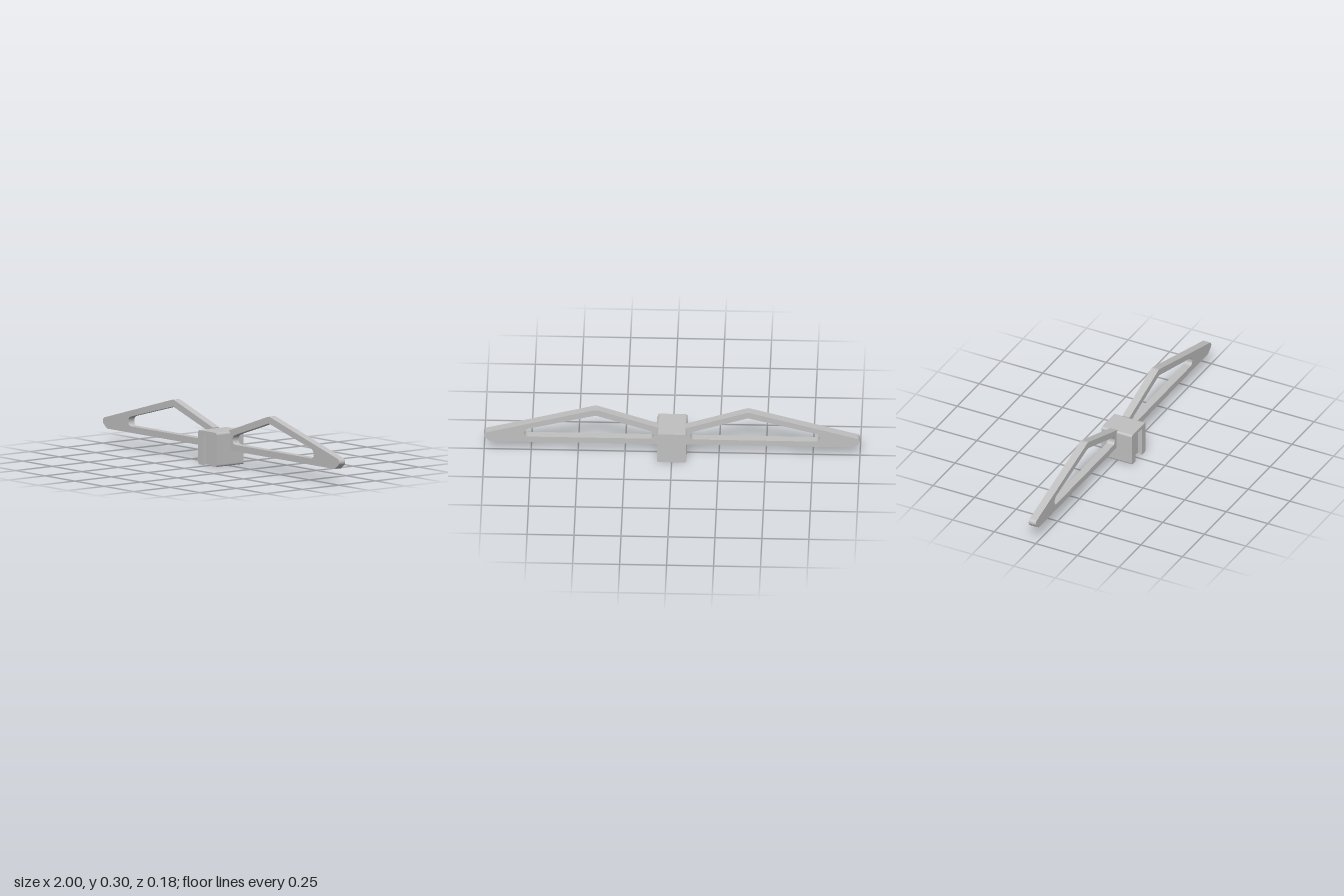
import * as THREE from 'three';

// Fills a path with a closed polygon; each point is [x, y, corner cut length]
function roundedPolygon(path, points, side = 1) {
  const pts = points.map(([x, y, r = 0]) => ({ p: new THREE.Vector2(x * side, y), r }));
  // Mirrored outlines are reversed so that their walls still face outward
  if (side < 0) pts.reverse();
  const n = pts.length;
  pts.forEach(({ p, r }, i) => {
    const toward = (q) => p.clone().add(q.p.clone().sub(p).setLength(r));
    const a = toward(pts[(i + n - 1) % n]);
    if (i === 0) path.moveTo(a.x, a.y);
    else path.lineTo(a.x, a.y);
    if (r) {
      const b = toward(pts[(i + 1) % n]);
      path.quadraticCurveTo(p.x, p.y, b.x, b.y);
    }
  });
  path.closePath();
  return path;
}

// Extrudes a shape between two depths; the fine curve steps keep corners smooth
function slab(name, shape, z0, z1, material) {
  const geometry = new THREE.ExtrudeGeometry(shape, { depth: z1 - z0, bevelEnabled: false, curveSegments: 16 });
  geometry.translate(0, 0, z0);
  const mesh = new THREE.Mesh(geometry, material);
  mesh.name = name;
  return mesh;
}

// Hub cross-section, with an optional slot open at the bottom
function hubShape(slotHalfWidth) {
  const w = 0.079, h = 0.184, r = 0.014, top = 0.164, s = slotHalfWidth;
  const slot = s ? [[-s, 0], [-s, top], [s, top], [s, 0]] : [];
  const points = [[-w, 0, r], ...slot, [w, 0, r], [w, h, r], [-w, h, r]];
  return roundedPolygon(new THREE.Shape(), points);
}

export function createModel() {
  const grey = new THREE.MeshStandardMaterial({ color: 0xc0c0c0 });
  grey.name = 'plain grey';
  const model = new THREE.Group();
  model.name = 'wingedClip';

  // Hub: solid block, then a slot that is wider behind its thin front lip
  const hub = new THREE.Group();
  hub.name = 'hub';
  hub.add(
    slab('hubBlock', hubShape(0), -0.092, 0.062, grey),
    slab('hubSlot', hubShape(0.048), 0.062, 0.082, grey),
    slab('hubSlotLip', hubShape(0.035), 0.082, 0.092, grey),
  );
  model.add(hub);

  // Wings: flat triangular frames with a rounded opening, mirrored
  const outline = [
    [0.069, 0.082], [0.965, 0.082, 0.008], [1.003, 0.112, 0.014],
    [0.998, 0.137, 0.014], [0.405, 0.302, 0.012], [0.069, 0.189],
  ];
  const opening = [
    [0.098, 0.117, 0.025], [0.785, 0.117, 0.025], [0.785, 0.164, 0.025],
    [0.405, 0.264, 0.008], [0.098, 0.163, 0.025],
  ];
  for (const side of [1, -1]) {
    const shape = roundedPolygon(new THREE.Shape(), outline, side);
    shape.holes.push(roundedPolygon(new THREE.Path(), opening, side));
    model.add(slab(side > 0 ? 'leftWing' : 'rightWing', shape, -0.042, 0, grey));
  }
  return model;
}
